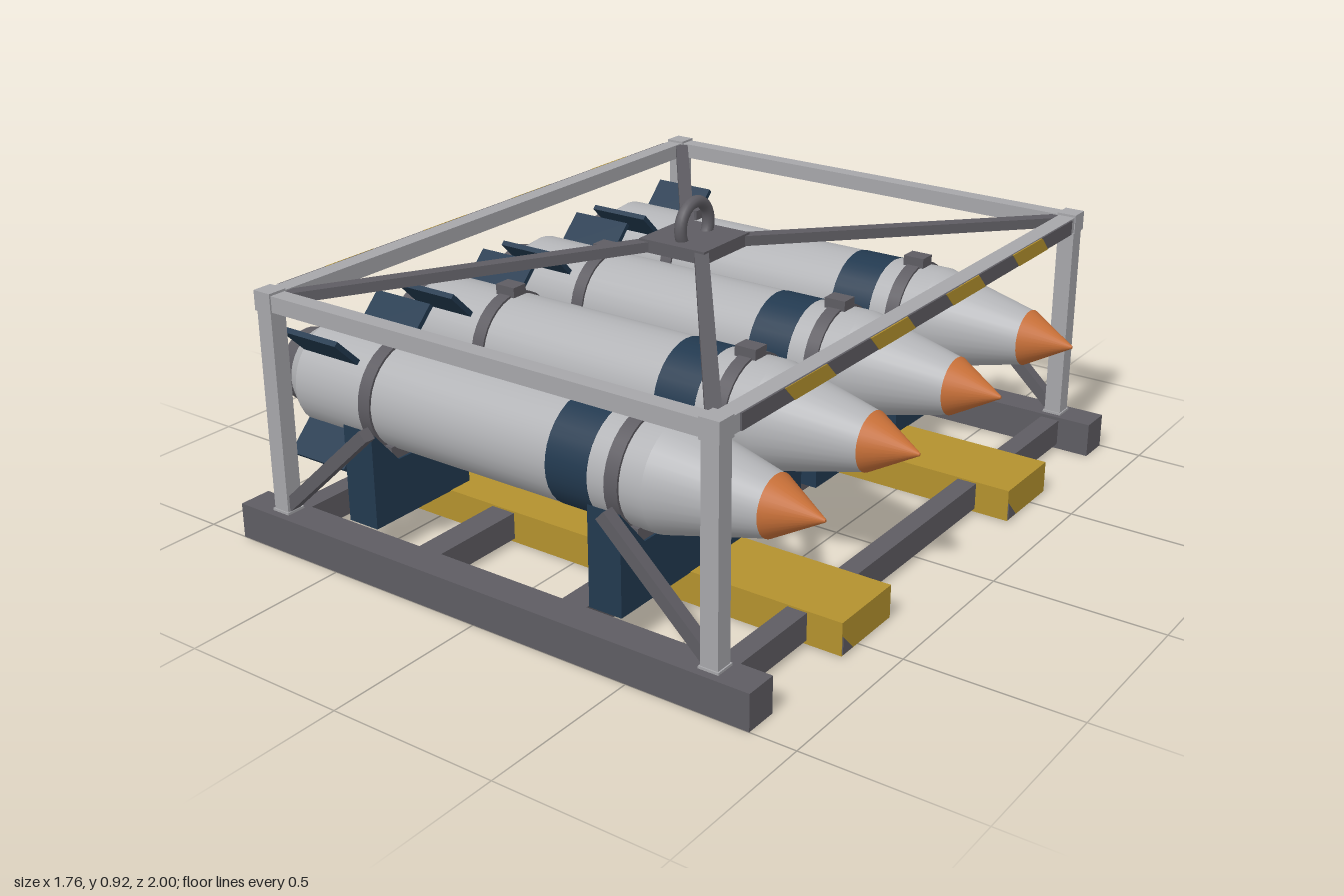
import * as THREE from 'three';

const mat = (name, color) => {
  const m = new THREE.MeshStandardMaterial({ color });
  m.name = name;
  return m;
};

export function createModel() {
  const body = mat('shell grey', 0xb2b3b6);
  const frame = mat('frame grey', 0xa6a6aa);
  const dark = mat('dark steel', 0x5e5c62);
  const navy = mat('navy', 0x22394f);
  const yellow = mat('safety yellow', 0xb3912e);
  const orange = mat('nose orange', 0xc87038);

  const model = new THREE.Group();
  model.name = 'munitionRack';

  const add = (parent, name, geo, material) => {
    const m = new THREE.Mesh(geo, material);
    m.name = name;
    parent.add(m);
    return m;
  };
  // Box given by its limits on each axis
  const box = (parent, name, material, x0, x1, y0, y1, z0, z1) => {
    const g = new THREE.BoxGeometry(x1 - x0, y1 - y0, z1 - z0);
    g.translate((x0 + x1) / 2, (y0 + y1) / 2, (z0 + z1) / 2);
    return add(parent, name, g, material);
  };
  // Square bar between two points
  const bar = (name, material, a, b, w, h) => {
    const p = new THREE.Vector3(...a), q = new THREE.Vector3(...b);
    const m = add(model, name, new THREE.BoxGeometry(w, h, p.distanceTo(q)), material);
    m.position.copy(p).lerp(q, 0.5);
    m.lookAt(q);
    return m;
  };
  // Outline of [z, y] points extruded along x
  const plateX = (parent, name, material, pts, x0, x1) => {
    const s = new THREE.Shape(pts.map(([z, y]) => new THREE.Vector2(-z, y)));
    const g = new THREE.ExtrudeGeometry(s, { depth: x1 - x0, bevelEnabled: false });
    g.rotateY(Math.PI / 2).translate(x0, 0, 0);
    return add(parent, name, g, material);
  };
  // Round section along x
  const section = (parent, name, material, x0, r0, x1, r1, open = true) => {
    const g = new THREE.CylinderGeometry(r1, r0, x1 - x0, 32, 1, open);
    g.rotateZ(-Math.PI / 2).translate((x0 + x1) / 2, 0, 0);
    return add(parent, name, g, material);
  };

  // Base skid
  for (const s of [-1, 1]) {
    box(model, 'skidRail', dark, -0.867, 0.867, 0, 0.105, s * 0.95 - 0.05, s * 0.95 + 0.05);
    box(model, 'forkChannel', yellow, -0.87, 0.87, 0.004, 0.1, s * 0.463 - 0.122, s * 0.463 + 0.122);
    for (const e of [-1, 1]) {
      const c = s * 0.463, x = e * 0.871;
      plateX(model, 'forkChannelMark', dark,
        [[c + 0.12, 0.008], [c + 0.12, 0.06], [c + 0.07, 0.008]], x - 0.002, x + 0.002);
    }
  }
  for (const x of [-0.735, -0.25, 0.25, 0.735]) {
    const w = Math.abs(x) > 0.5 ? 0.03 : 0.04;
    box(model, 'crossMember', dark, x - w, x + w, 0.015, 0.095, -0.9, 0.9);
  }

  // Upper frame, posts and braces
  for (const s of [-1, 1]) {
    box(model, 'sideTopRail', frame, -0.73, 0.73, 0.71, 0.757, s * 0.947 - 0.025, s * 0.947 + 0.025);
    box(model, 'endTopRail', frame, s * 0.733 - 0.026, s * 0.733 + 0.026, 0.71, 0.757, -0.947, 0.947);
    for (const e of [-1, 1]) {
      const x = e * 0.732, z = s * 0.947;
      box(model, 'post', frame, x - 0.026, x + 0.026, 0.1, 0.757, z - 0.026, z + 0.026);
      box(model, 'postFoot', frame, x - 0.03, x + 0.03, 0.1, 0.112, z - 0.03, z + 0.03);
      box(model, 'cornerBlock', frame, x - 0.03, x + 0.03, 0.706, 0.764, z - 0.03, z + 0.03);
      bar('postBrace', dark, [e * 0.72, 0.122, z], [e * 0.4, 0.42, z], 0.036, 0.036);
      bar('liftArm', dark, [e * 0.71, 0.738, s * 0.925], [e * 0.08, 0.783, s * 0.08], 0.04, 0.03);
    }
    // Striped warning plate on each end rail
    const x = s * 0.761;
    box(model, 'warningPlate', dark, x - 0.003, x + 0.003, 0.711, 0.756, -0.89, 0.89);
    for (const z of [-0.61, -0.21, 0.19, 0.59]) {
      plateX(model, 'warningStripe', yellow,
        [[z + 0.12, 0.756], [z - 0.07, 0.756], [z - 0.115, 0.711], [z + 0.075, 0.711]],
        x + s * 0.003 - 0.002, x + s * 0.003 + 0.002);
    }
  }

  // Lifting plate and eye
  box(model, 'liftPlate', dark, -0.113, 0.113, 0.765, 0.803, -0.113, 0.113);
  const eye = new THREE.TorusGeometry(0.069, 0.018, 12, 36);
  eye.rotateY(Math.PI / 2).translate(0, 0.833, 0);
  add(model, 'liftEye', eye, dark);

  // Four bombs with cradles
  for (const z of [-0.695, -0.231, 0.231, 0.695]) {
    const bomb = new THREE.Group();
    bomb.name = 'bomb';
    bomb.position.set(0, 0.434, z);
    model.add(bomb);
    section(bomb, 'tailCap', dark, -0.88, 0.107, -0.825, 0.118, false);
    section(bomb, 'tailCone', body, -0.825, 0.12, -0.77, 0.155);
    section(bomb, 'rearBody', body, -0.77, 0.155, 0.135, 0.155);
    section(bomb, 'bodyBand', navy, 0.135, 0.156, 0.27, 0.156, false);
    section(bomb, 'frontBody', body, 0.27, 0.155, 0.44, 0.155);
    section(bomb, 'noseTaper', body, 0.44, 0.155, 0.735, 0.083);
    section(bomb, 'noseTip', orange, 0.735, 0.085, 0.878, 0.004, false);
    for (let i = 0; i < 4; i++) {
      const fin = box(bomb, 'tailFin', navy, -0.768, -0.56, 0.14, 0.266, -0.008, 0.008);
      fin.rotation.x = Math.PI / 4 + i * Math.PI / 2;
    }
    for (const x of [-0.5, 0.35]) {
      section(bomb, 'strap', dark, x - 0.021, 0.162, x + 0.021, 0.162, false);
      box(bomb, 'strapBuckle', dark, x - 0.034, x + 0.034, 0.155, 0.186, -0.027, 0.027);
      plateX(model, 'cradle', navy, [
        [z - 0.19, 0.098], [z + 0.19, 0.098], [z + 0.19, 0.39],
        [z + 0.09, 0.275], [z - 0.09, 0.275], [z - 0.19, 0.39],
      ], x - 0.052, x + 0.052);
      box(model, 'cradlePad', dark, x - 0.046, x + 0.046, 0.272, 0.315, z - 0.11, z + 0.11);
    }
  }
  return model;
}
